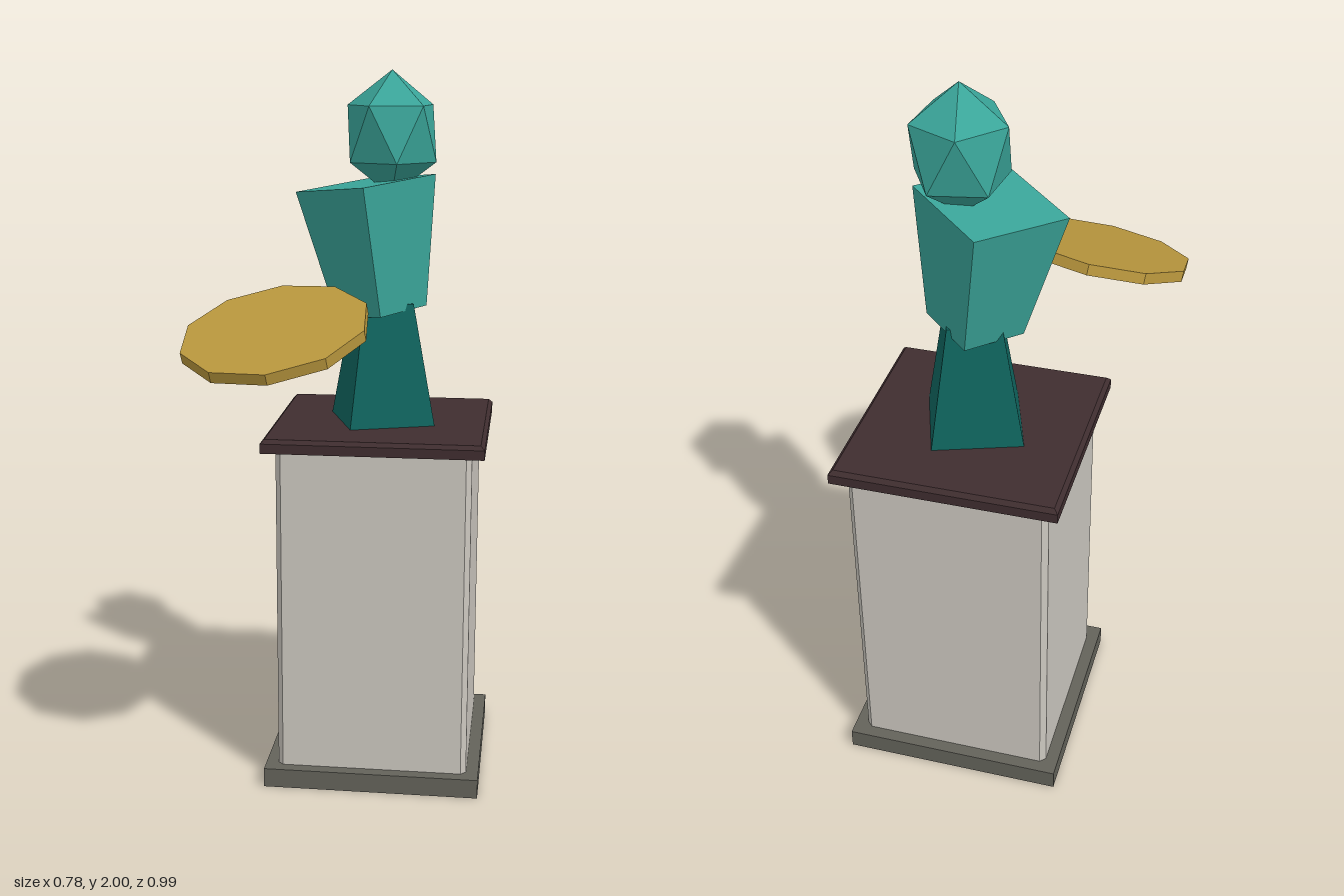
import * as THREE from 'three';

const material = (name, color) => {
  const m = new THREE.MeshStandardMaterial({ color });
  m.name = name;
  return m;
};

// Gives every face its own flat normal
function faceted(geometry) {
  const g = geometry.index ? geometry.toNonIndexed() : geometry;
  g.computeVertexNormals();
  return g;
}

// Square solid from a profile of [half width, height] pairs
function squareLathe(profile) {
  const points = profile.map(([half, y]) => new THREE.Vector2(half * Math.SQRT2, y));
  return new THREE.LatheGeometry(points, 4).rotateY(Math.PI / 4);
}

export function createModel() {
  const model = new THREE.Group();
  model.name = 'statueOnPedestal';

  const stone = material('pale stone', 0xcbc7bf);
  const slate = material('grey base', 0x63625a);
  const wood = material('dark cap', 0x3f2d2f);
  const teal = material('light teal', 0x3aa599);
  const darkTeal = material('dark teal', 0x0f645e);
  const gold = material('gold', 0xb8963d);

  const add = (parent, name, geometry, mat, x = 0, y = 0, z = 0) => {
    const mesh = new THREE.Mesh(faceted(geometry), mat);
    mesh.name = name;
    mesh.position.set(x, y, z);
    parent.add(mesh);
    return mesh;
  };

  // Pedestal: hollow-bottomed foot, chamfered shaft and bevelled cap
  const pedestal = new THREE.Group();
  pedestal.name = 'pedestal';
  pedestal.position.set(0.085, 0, -0.195);
  model.add(pedestal);

  add(pedestal, 'foot', squareLathe([
    [0, 0.04], [0.3, 0.04], [0.3, 0], [0.305, 0], [0.305, 0.055], [0, 0.055],
  ]), slate);

  const h = 0.27, c = h - 0.015;
  const outline = new THREE.Shape([
    [h, -c], [h, c], [c, h], [-c, h], [-h, c], [-h, -c], [-c, -h], [c, -h],
  ].map(([x, y]) => new THREE.Vector2(x, y)));
  const shaft = new THREE.ExtrudeGeometry(outline, { depth: 0.935, bevelEnabled: false });
  add(pedestal, 'shaft', shaft.rotateX(-Math.PI / 2), stone, 0, 0.054, 0);

  add(pedestal, 'cap', squareLathe([
    [0, 0.987], [0.305, 0.987], [0.305, 1.014], [0.294, 1.025], [0, 1.025],
  ]), wood);

  // Figure: tapered skirt, leaning torso and faceted head
  const figure = new THREE.Group();
  figure.name = 'figure';
  model.add(figure);

  const skirt = add(figure, 'skirt', new THREE.CylinderGeometry(0.1, 0.172, 0.34, 4),
    darkTeal, 0.085, 1.195, -0.19);
  skirt.rotation.y = -0.45;

  const torso = add(figure, 'torso', new THREE.CylinderGeometry(0.196, 0.128, 0.36, 4),
    teal, 0.057, 1.516, -0.19);
  torso.rotation.set(0, 0.08, 0.13, 'ZYX');

  const head = new THREE.IcosahedronGeometry(0.14)
    .rotateZ(Math.atan(2 / (1 + Math.sqrt(5)))) // one corner straight up
    .rotateY(-0.11)
    .scale(1, 1.22, 1);
  add(figure, 'head', head, teal, 0.106, 1.83, -0.193);

  // Tilted plate floating in front
  const plate = add(model, 'plate', new THREE.CylinderGeometry(0.25, 0.25, 0.03, 10),
    gold, -0.15, 1.345, 0.247);
  plate.rotation.set(0.31, 0.03, 0.13, 'ZXY');

  return model;
}
